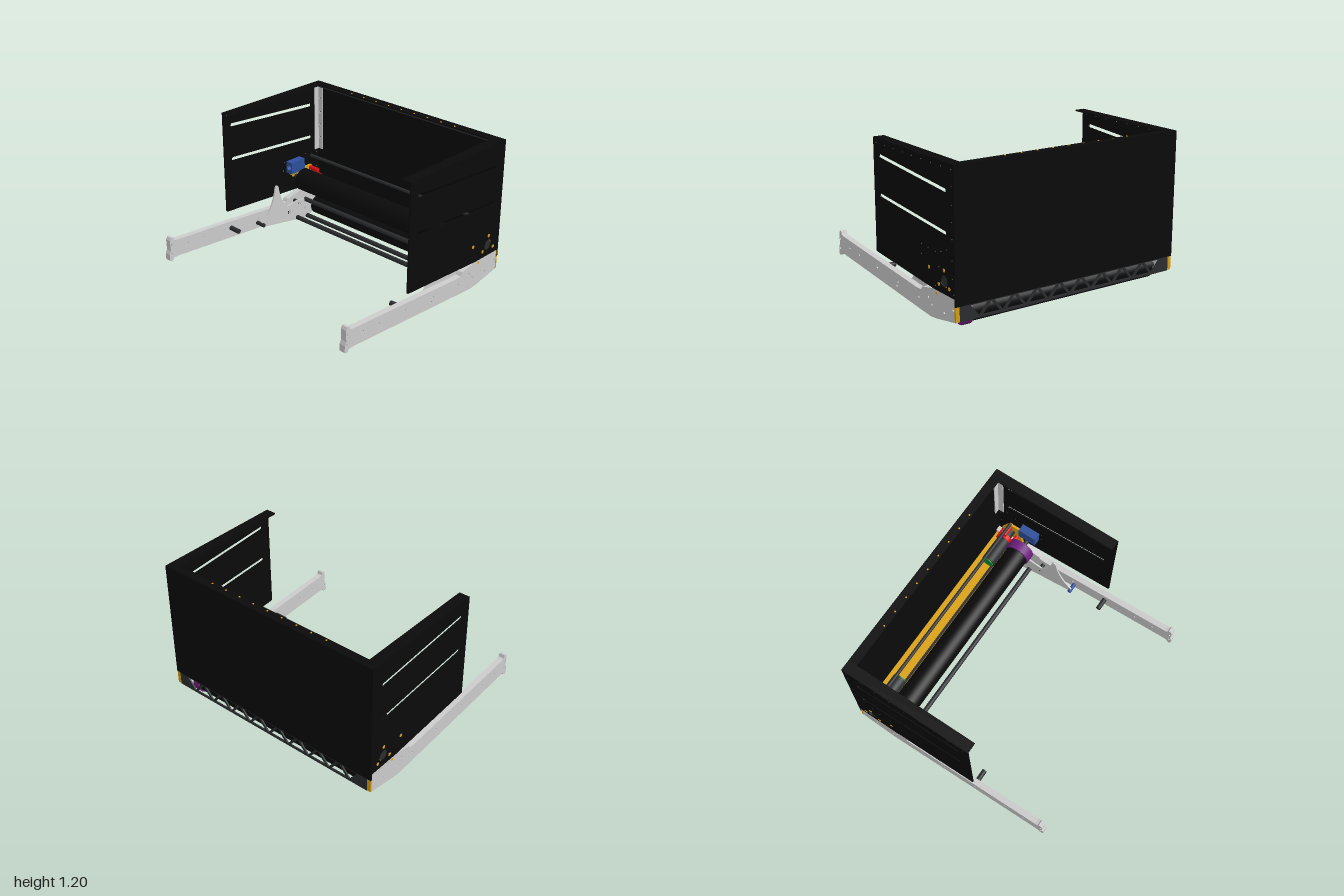
import * as THREE from 'three';

const mat = (color, opts = {}) => new THREE.MeshStandardMaterial({ color, ...opts });
const GREY = mat(0xcccccc), BLACK = mat(0x0a0a0a), DARK = mat(0x2a2c2e), GOLD = mat(0xd9a010),
  PURPLE = mat(0x6d1f7c), RED = mat(0xdd1111), BLUE = mat(0x2f4f9a), GREEN = mat(0x118833);

function add(parent, name, geometry, material) {
  const m = new THREE.Mesh(geometry, material);
  m.name = name;
  parent.add(m);
  return m;
}

// Box given by its minimum and maximum on each axis
function box(parent, name, material, [x0, x1], [y0, y1], [z0, z1]) {
  const g = new THREE.BoxGeometry(x1 - x0, y1 - y0, z1 - z0);
  g.translate((x0 + x1) / 2, (y0 + y1) / 2, (z0 + z1) / 2);
  return add(parent, name, g, material);
}

// Cylinder lying along x
function rod(parent, name, material, [x0, x1], y, z, r, sides = 24) {
  const g = new THREE.CylinderGeometry(r, r, x1 - x0, sides);
  g.rotateZ(Math.PI / 2);
  g.translate((x0 + x1) / 2, y, z);
  return add(parent, name, g, material);
}

const poly = pts => pts.map(p => new THREE.Vector2(p[0], p[1]));
const circle = ([a, b], r) => new THREE.Path().absarc(a, b, r, 0, Math.PI * 2);

// Rounded slot between two points
function slot([a0, b0], [a1, b1], r) {
  const t = Math.atan2(b1 - b0, a1 - a0);
  const p = new THREE.Path();
  p.absarc(a1, b1, r, t - Math.PI / 2, t + Math.PI / 2);
  p.absarc(a0, b0, r, t + Math.PI / 2, t + Math.PI * 1.5);
  p.closePath();
  return p;
}

// Plate outlined in (z, y), from x outwards by thickness
function sidePlate(parent, name, material, shape, x, thick) {
  const g = new THREE.ExtrudeGeometry(shape, { depth: thick, bevelEnabled: false, curveSegments: 8 });
  g.rotateY(-Math.PI / 2);
  g.translate(x + thick, 0, 0);
  return add(parent, name, g, material);
}

function buildSide(name, isLeft) {
  const s = new THREE.Group();
  s.name = name;

  // Side wall with two sloping slots and rivet holes
  const wall = new THREE.Shape(poly([[0.23, 0.315], [0.23, 1.2], [-0.885, 1.2], [-0.885, 0.257], [-0.6, 0.257], [0.22, 0.31]]));
  wall.holes.push(slot([0.135, 1.07], [-0.77, 1.003], 0.015), slot([0.135, 0.77], [-0.77, 0.703], 0.015));
  for (let i = 0; i < 9; i++) wall.holes.push(circle([0.187 - i * 0.13, 1.165], 0.008));
  [1.05, 0.92, 0.8, 0.68, 0.53, 0.4].forEach(y => wall.holes.push(circle([-0.855, y], 0.008)));
  [[-0.45, 0.55], [-0.54, 0.545], [-0.64, 0.54], [-0.71, 0.56], [-0.785, 0.59], [-0.445, 0.475], [-0.68, 0.44],
    [-0.63, 0.29], [-0.87, 0.29]].forEach(p => wall.holes.push(circle(p, 0.008)));
  wall.holes.push(circle([-0.75, 0.35], 0.045));
  sidePlate(s, 'sideWall', BLACK, wall, 0.99, 0.01);
  box(s, 'sideWallTopFlange', BLACK, [0.91, 1], [1.19, 1.2], [-0.885, 0.23]);

  // Grey corner angle
  const angle = new THREE.Shape(poly([[0.935, 0.57], [0.99, 0.57], [0.99, 1.16], [0.935, 1.16]]));
  [1.05, 0.92, 0.8, 0.68].forEach(y => angle.holes.push(circle([0.965, y], 0.008)));
  const ag = new THREE.ExtrudeGeometry(angle, { depth: 0.008, bevelEnabled: false, curveSegments: 8 });
  add(s, 'cornerAngle', ag.translate(0, 0, -0.88), GREY);
  box(s, 'cornerAngleLeg', GREY, [0.982, 0.99], [0.57, 1.16], [-0.88, -0.825]);

  // Long chassis rail with hooked front end
  const rail = new THREE.Shape(poly([[0.89, 0.115], [0.89, 0.17], [0.875, 0.2], [0.878, 0.29], [0.865, 0.312], [0.845, 0.312],
    [0.835, 0.285], [0.81, 0.278], [-0.36, 0.192], [-0.42, 0.195], [-0.44, 0.222], [-0.6, 0.255], [-0.885, 0.255],
    [-0.885, 0.085], [-0.62, 0.037], [-0.55, 0.03], [0.8, 0.13], [0.845, 0.13], [0.86, 0.108], [0.88, 0.105]]));
  [[0.865, 0.245], [0.87, 0.165], [0.7, 0.207], [0.53, 0.195], [0.24, 0.175], [-0.085, 0.15], [-0.065, 0.117], [-0.39, 0.13],
    [-0.525, 0.17], [-0.57, 0.125], [-0.735, 0.115], [-0.855, 0.17]].forEach(p => rail.holes.push(circle(p, 0.009)));
  sidePlate(s, 'chassisRail', GREY, rail, 0.945, 0.05);

  // Inner guide fin carrying the roller
  const fin = new THREE.Shape();
  fin.moveTo(-0.06, 0.13);
  fin.quadraticCurveTo(-0.2, 0.22, -0.23, 0.41);
  fin.quadraticCurveTo(-0.25, 0.45, -0.27, 0.41);
  fin.quadraticCurveTo(-0.29, 0.27, -0.37, 0.19);
  [[-0.5, 0.21], [-0.7, 0.17], [-0.72, 0.08], [-0.64, 0.01], [-0.56, 0.006], [-0.43, 0.035], [-0.07, 0.095]]
    .forEach(p => fin.lineTo(...p));
  fin.holes.push(circle([-0.58, 0.1], 0.012));
  sidePlate(s, 'guideFin', GREY, fin, 0.88, 0.012);

  // Standoff posts
  rod(s, 'frontPost', DARK, [0.845, 0.945], 0.175, 0.23, 0.02);
  rod(s, 'middlePost', isLeft ? BLUE : DARK, [0.86, 0.945], 0.118, -0.07, 0.017);
  rod(s, 'rearPost', DARK, [0.88, 0.945], 0.13, -0.39, 0.017);
  rod(s, 'upperPost', DARK, [0.88, 0.945], 0.18, -0.52, 0.018);

  // Blue bearing block with a bored front
  const block = new THREE.Shape(poly([[0.92, 0.455], [0.988, 0.455], [0.988, 0.56], [0.92, 0.56]]));
  block.holes.push(circle([0.955, 0.508], 0.025));
  const bg = new THREE.ExtrudeGeometry(block, { depth: 0.16, bevelEnabled: false, curveSegments: 8 });
  add(s, 'bearingBlock', bg.translate(0, 0, -0.63), BLUE);

  // Gold three-armed motor bracket
  const bracket = new THREE.Shape(poly([[-0.5, 0.43], [-0.58, 0.45], [-0.76, 0.45], [-0.83, 0.33], [-0.83, 0.26], [-0.62, 0.26], [-0.64, 0.33]]));
  bracket.holes.push(circle([-0.745, 0.35], 0.05));
  sidePlate(s, 'motorBracket', GOLD, bracket, 0.965, 0.02);
  box(s, 'bracketFoot', GOLD, [0.81, 0.965], [0.255, 0.27], [-0.7, -0.66]);
  [[-0.75, 0.43], [-0.68, 0.313], [-0.815, 0.313], [-0.55, 0.403]].forEach(([z, y]) =>
    rod(s, 'bracketBolt', GOLD, [0.985, 1.003], y, z, 0.014, 12));
  rod(s, 'bracketBoltLow', GOLD, [0.985, 0.998], 0.232, -0.64, 0.01, 12);

  // Motor with red gearbox and green ring
  rod(s, 'motor', DARK, [0.63, 0.88], 0.33, -0.745, 0.06);
  rod(s, 'motorRing', GREEN, [0.62, 0.63], 0.33, -0.745, 0.05);
  rod(s, 'motorFace', RED, [0.86, 0.9], 0.345, -0.745, 0.055);
  [[0.425, -0.745], [0.305, -0.68], [0.305, -0.81]].forEach(([y, z]) =>
    rod(s, 'redSpacer', RED, [0.87, 0.965], y, z, 0.02, 16));
  rod(s, 'driveShaft', DARK, [0.9, 0.995], 0.35, -0.745, 0.042);
  rod(s, 'rollerAxle', DARK, [0.86, 0.965], 0.4, -0.56, 0.02, 6);

  // Gold post at the rear corner
  box(s, 'rearCornerPost', GOLD, [0.965, 0.997], [0.09, 0.255], [-0.889, -0.875]);

  if (!isLeft) s.scale.x = -1;
  return s;
}

export function createModel() {
  const model = new THREE.Group();
  model.name = 'hopperIntake';
  model.add(buildSide('leftSide', true), buildSide('rightSide', false));

  // Rear wall with its top angle
  box(model, 'rearWall', BLACK, [-1, 1], [0.2, 1.2], [-0.89, -0.88]);
  box(model, 'rearTopFlange', BLACK, [-0.99, 0.99], [1.188, 1.199], [-0.885, -0.815]);
  box(model, 'rearTopAngle', DARK, [-0.99, 0.99], [1.15, 1.19], [-0.88, -0.87]);
  for (let i = 0; i < 9; i++) {
    const g = new THREE.CylinderGeometry(0.007, 0.007, 0.006, 10);
    add(model, 'topRivet', g.translate(-0.55 + i * 0.1375, 1.2, -0.835), GOLD);
  }

  // Rear truss plate with alternating triangular openings
  const truss = new THREE.Shape(poly([[-0.965, 0.085], [0.965, 0.085], [0.965, 0.215], [-0.965, 0.215]]));
  for (let i = 0; i < 17; i++) {
    const x = -0.8 + i * 0.1, up = i % 2 ? 1 : -1;
    truss.holes.push(new THREE.Path(poly([[x - 0.075, 0.148 - up * 0.045], [x + 0.075, 0.148 - up * 0.045], [x, 0.148 + up * 0.045]])));
  }
  const tg = new THREE.ExtrudeGeometry(truss, { depth: 0.012, bevelEnabled: false });
  add(model, 'rearTruss', tg.translate(0, 0, -0.889), DARK);

  // Cross beam
  box(model, 'crossBeam', GOLD, [-0.94, 0.94], [0.222, 0.24], [-0.87, -0.71]);
  box(model, 'crossBeamUpperLip', DARK, [-0.9, 0.9], [0.24, 0.25], [-0.73, -0.71]);
  box(model, 'crossBeamLowerLip', DARK, [-0.9, 0.9], [0.207, 0.222], [-0.73, -0.71]);

  // Rollers and purple drive pulleys
  rod(model, 'upperRoller', BLACK, [-0.87, 0.87], 0.4, -0.56, 0.098, 40);
  rod(model, 'upperPulley', PURPLE, [0.785, 0.868], 0.4, -0.56, 0.11, 40);
  rod(model, 'lowerRoller', BLACK, [-0.87, 0.87], 0.1, -0.74, 0.085, 40);
  rod(model, 'lowerPulley', PURPLE, [0.815, 0.878], 0.1, -0.74, 0.098, 40);
  rod(model, 'lowerAxle', DARK, [-0.95, 0.95], 0.1, -0.74, 0.02, 6);

  // Cross rods
  rod(model, 'upperCrossRod', DARK, [-0.93, 0.93], 0.56, -0.72, 0.014, 16);
  [[0.022, -0.615], [0.045, -0.49], [0.185, -0.6]].forEach(([y, z]) =>
    rod(model, 'lowerCrossRod', DARK, [-0.89, 0.89], y, z, 0.02, 16));

  return model;
}
